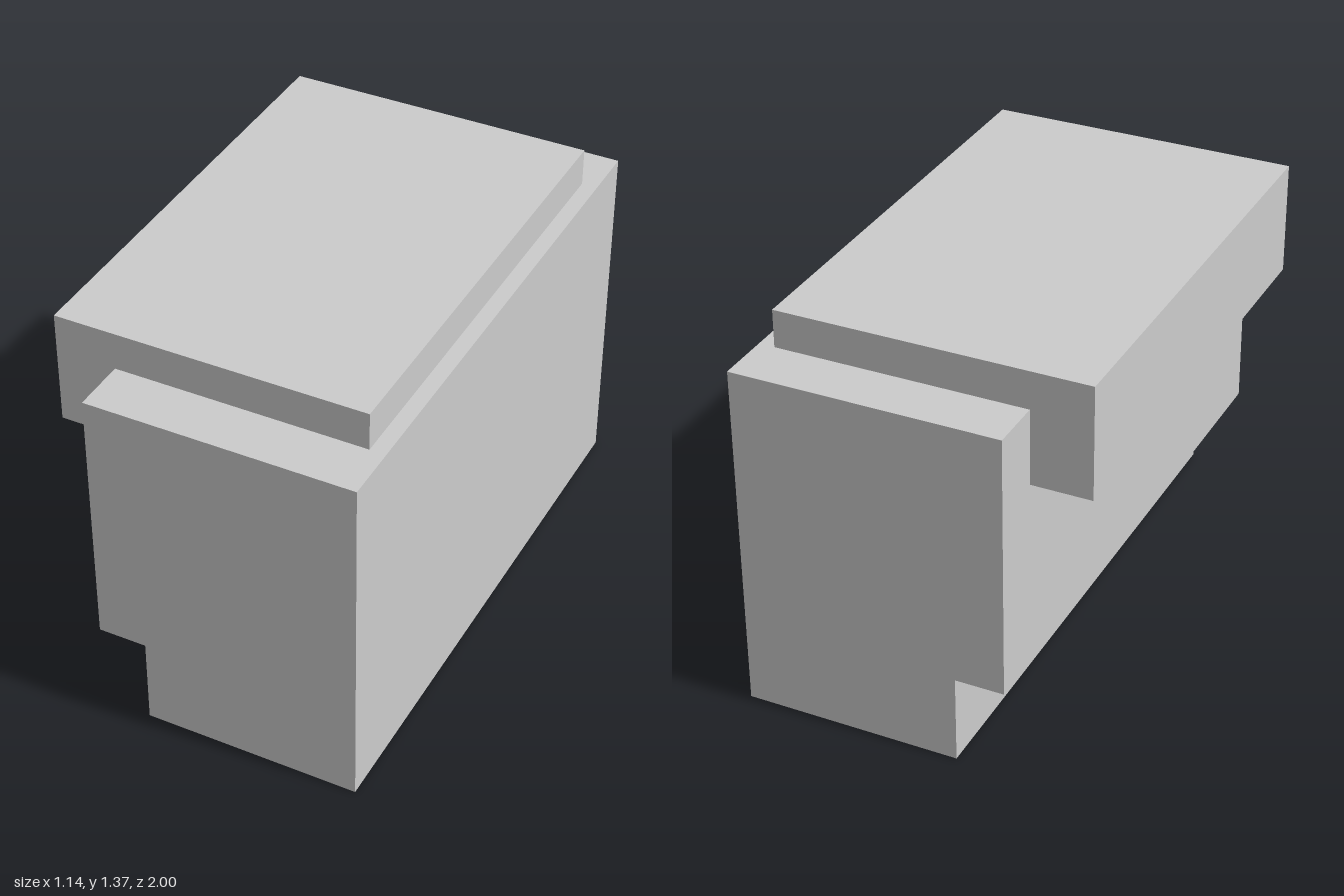
import * as THREE from 'three';

const material = new THREE.MeshStandardMaterial({ color: 0xcccccc, flatShading: true });

// Extrude a closed x/y outline along z between two depths
function addPrism(group, name, outline, zBack, zFront) {
  const shape = new THREE.Shape(outline.map(([x, y]) => new THREE.Vector2(x, y)));
  const geometry = new THREE.ExtrudeGeometry(shape, { depth: zFront - zBack, bevelEnabled: false });
  geometry.translate(0, 0, zBack);
  const mesh = new THREE.Mesh(geometry, material);
  mesh.name = name;
  group.add(mesh);
}

export function createModel() {
  const group = new THREE.Group();
  group.name = 'steppedBlock';

  // Main body with a recessed foot along its right side
  addPrism(group, 'body', [
    [-0.19, 0], [0.567, 0], [0.567, 1.24], [-0.36, 1.24], [-0.36, 0.312], [-0.19, 0.312],
  ], -1, 1);

  // Lid resting on the body, with a lip hanging over the right side
  addPrism(group, 'lid', [
    [-0.57, 0.975], [-0.36, 0.975], [-0.36, 1.24], [0.512, 1.24], [0.512, 1.372], [-0.57, 1.372],
  ], -0.81, 0.808);

  return group;
}
